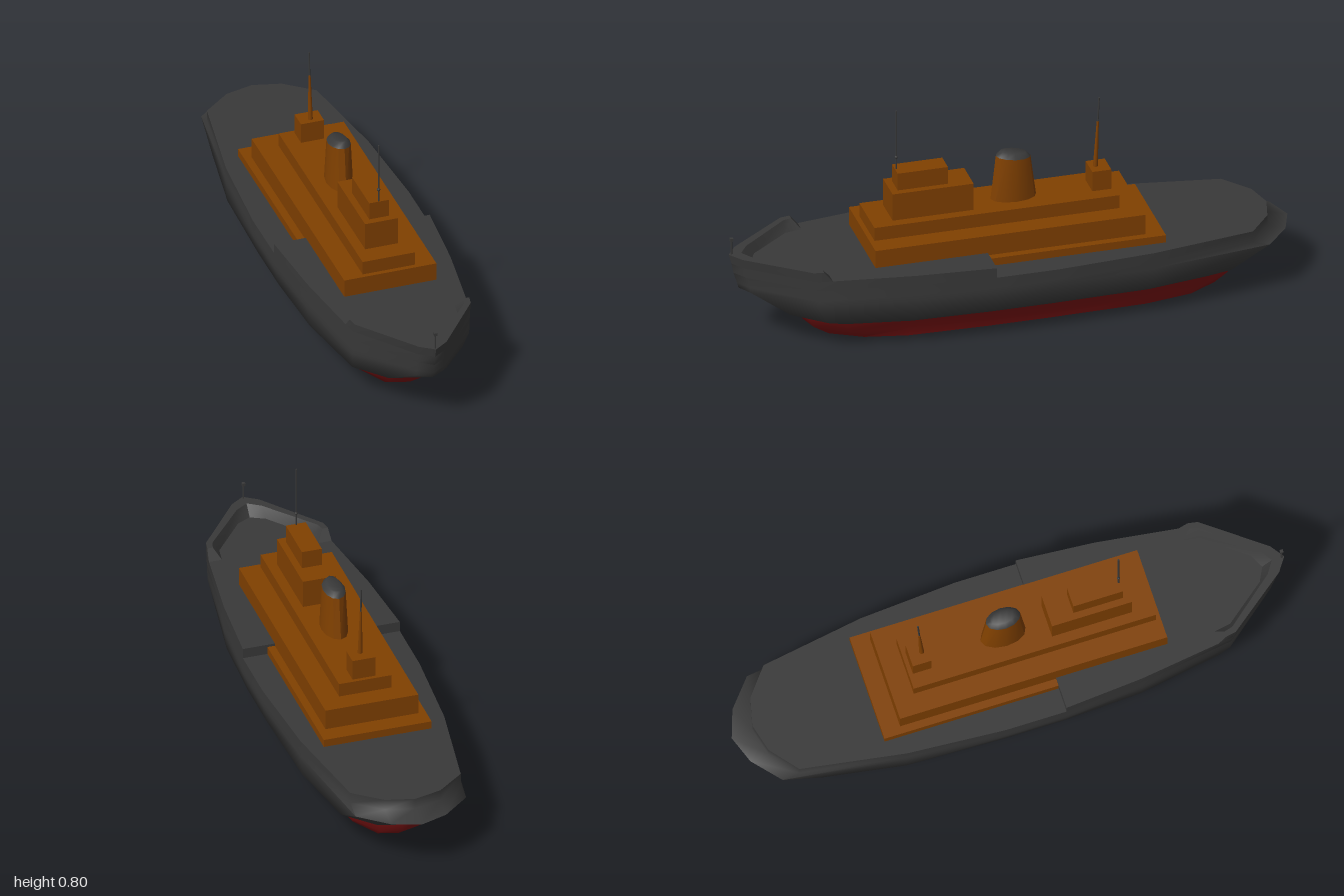
import * as THREE from 'three';
import { toCreasedNormals } from 'three/addons/utils/BufferGeometryUtils.js';

const material = (name, color) => Object.assign(new THREE.MeshStandardMaterial({ color }), { name });

// Lofts through rings of [x, y, z] points, listed from the bottom ring up.
function loft(rings, { closed = true, bottom = false, top = false, ends = false, crease = 0.6 } = {}) {
  const pos = [];
  const tri = (a, b, c) => pos.push(...a, ...b, ...c);
  const quad = (a, b, c, d) => { tri(a, b, c); tri(a, c, d); };
  const n = rings[0].length;
  for (let k = 0; k < rings.length - 1; k++) {
    for (let i = 0; i < (closed ? n : n - 1); i++) {
      const j = (i + 1) % n;
      quad(rings[k][i], rings[k][j], rings[k + 1][j], rings[k + 1][i]);
    }
  }
  // flat lids, as strips running from side to side
  const lid = (ring, up) => {
    for (let i = 0; i < Math.floor(n / 2); i++) {
      const r0 = ring[i], r1 = ring[i + 1], l0 = ring[(n - i) % n], l1 = ring[n - i - 1];
      up ? quad(r0, r1, l1, l0) : quad(l0, l1, r1, r0);
    }
  };
  if (bottom) lid(rings[0], false);
  if (top) lid(rings[rings.length - 1], true);
  if (ends) {
    const [a, b, c, d] = rings;
    quad(a[0], b[0], c[0], d[0]);
    quad(d[n - 1], c[n - 1], b[n - 1], a[n - 1]);
  }
  const g = new THREE.BufferGeometry();
  g.setAttribute('position', new THREE.Float32BufferAttribute(pos, 3));
  return toCreasedNormals(g, crease);
}

// Mirrors a half outline of [z, x] stations (bow to stern) into a closed ring.
function ring(y, half) {
  const right = half.map(([z, x]) => [x, y, z]);
  const left = half.filter(([, x]) => x > 0).reverse().map(([z, x]) => [-x, y, z]);
  return [...right, ...left];
}

// Mirrors a half outline into an open arc running around the bow.
function bowArc(y, half) {
  const left = half.slice(1).reverse().map(([z, x]) => [-x, y, z]);
  return [...left, ...half.map(([z, x]) => [x, y, z])];
}

// Full, rounded outline of the lower hull.
const lowOutline = (bow, stern, w) => [
  [bow, 0], [bow - 0.02, 0.4 * w], [bow - 0.13, 0.76 * w], [0.4, 0.95 * w], [0.12, w],
  [-0.1, w], [-0.45, 0.96 * w], [stern + 0.12, 0.78 * w], [stern + 0.02, 0.42 * w], [stern, 0],
];

export function createModel() {
  const ship = new THREE.Group();
  ship.name = 'ship';
  const grey = material('hull grey', 0x393939);
  const red = material('keel red', 0x7a1212);
  const brown = material('superstructure brown', 0x804000);

  const add = (name, geometry, mat, x = 0, y = 0, z = 0) => {
    const mesh = new THREE.Mesh(geometry, mat);
    mesh.name = name;
    mesh.position.set(x, y, z);
    ship.add(mesh);
    return mesh;
  };

  // Hull below the waterline
  const waterline = ring(0.075, lowOutline(0.755, -0.79, 0.2));
  add('keel', loft([
    ring(0, lowOutline(0.68, -0.74, 0.163)),
    ring(0.035, lowOutline(0.735, -0.785, 0.176)),
    waterline,
  ], { bottom: true, crease: 1.1 }), red);

  // Hull above the waterline, with an overhanging stern
  const middle = [[0.4, 0.262], [0.12, 0.284], [-0.1, 0.284], [-0.45, 0.26]];
  const sternDeck = [[-0.82, 0.2], [-0.9, 0.1], [-0.925, 0]];
  add('hull', loft([
    waterline,
    ring(0.115, lowOutline(0.83, -0.86, 0.265)),
    ring(0.19, [[0.965, 0], [0.935, 0.05], [0.735, 0.213], ...middle,
      [-0.88, 0.2], [-0.965, 0.1], [-1, 0]]),
    ring(0.21, [[0.97, 0], [0.938, 0.05], [0.736, 0.213], ...middle, ...sternDeck]),
    ring(0.25, [[0.983, 0], [0.948, 0.05], [0.738, 0.214], ...middle, ...sternDeck]),
  ], { top: true, crease: 1.35 }), grey);

  // Raised foredeck
  const fore = middle.slice(0, 2);
  add('foredeck', loft([
    ring(0.25, [[0.983, 0], [0.948, 0.05], [0.738, 0.214], ...fore]),
    ring(0.287, [[0.99, 0], [0.955, 0.05], [0.74, 0.215], ...fore]),
  ], { top: true, crease: 1.35 }), grey);

  // Bulwark around the bow, sloping down inside
  add('bowBulwark', loft([
    bowArc(0.287, [[0.99, 0], [0.955, 0.05], [0.74, 0.215], [0.69, 0.222]]),
    bowArc(0.323, [[1, 0], [0.965, 0.05], [0.755, 0.212], [0.72, 0.218]]),
    bowArc(0.323, [[0.955, 0], [0.925, 0.045], [0.75, 0.19], [0.72, 0.198]]),
    bowArc(0.287, [[0.92, 0], [0.895, 0.05], [0.75, 0.165], [0.69, 0.175]]),
  ], { closed: false, ends: true }), grey);

  // Stacked deckhouses: name, half width, y range, z range
  for (const [name, w, y0, y1, z0, z1] of [
    ['aftPlatform', 0.195, 0.24, 0.278, -0.51, 0.12],
    ['lowerDeckhouse', 0.168, 0.24, 0.353, -0.445, 0.522],
    ['upperDeckhouse', 0.095, 0.353, 0.403, -0.372, 0.505],
    ['bridge', 0.06, 0.403, 0.505, 0.14, 0.43],
    ['bridgeTop', 0.036, 0.505, 0.57, 0.225, 0.405],
    ['aftHouse', 0.042, 0.403, 0.478, -0.358, -0.29],
  ]) {
    add(name, new THREE.BoxGeometry(2 * w, y1 - y0, z1 - z0), brown, 0, (y0 + y1) / 2, (z0 + z1) / 2);
  }

  // Oval funnel with a domed cap leaning aft
  const oval = (y, x, z0, z1, tilt = 0) => Array.from({ length: 12 }, (_, i) => {
    const a = (i / 12) * Math.PI * 2, c = Math.cos(a);
    return [Math.sin(a) * x, y + c * tilt, (z0 + z1) / 2 + c * (z1 - z0) / 2];
  });
  const rim = oval(0.562, 0.039, -0.08, 0.044, 0.006);
  add('funnel', loft([oval(0.403, 0.045, -0.1, 0.063), rim]), brown);
  add('funnelCap', loft([rim, oval(0.579, 0.024, -0.066, 0.028, 0.007)], { top: true, crease: 1.2 }), grey);

  // Masts
  const rod = (r0, r1, h) => new THREE.CylinderGeometry(r1, r0, h, 8);
  add('foremast', rod(0.003, 0.003, 0.227), grey, 0, 0.6825, 0.4);
  add('foremastBall', new THREE.SphereGeometry(0.006, 8, 6), grey, 0, 0.616, 0.4);
  const tilt = -0.05;
  add('aftMast', rod(0.009, 0.004, 0.175), brown, 0, 0.563, -0.317).rotation.x = tilt;
  add('aftMastTop', rod(0.003, 0.003, 0.1), grey, 0, 0.692, -0.3235).rotation.x = tilt;

  // Jackstaff on the bow
  add('jackstaff', rod(0.003, 0.003, 0.06), grey, 0, 0.35, 0.99);
  add('jackstaffLamp', new THREE.BoxGeometry(0.011, 0.011, 0.011), grey, 0, 0.38, 0.99);

  return ship;
}
